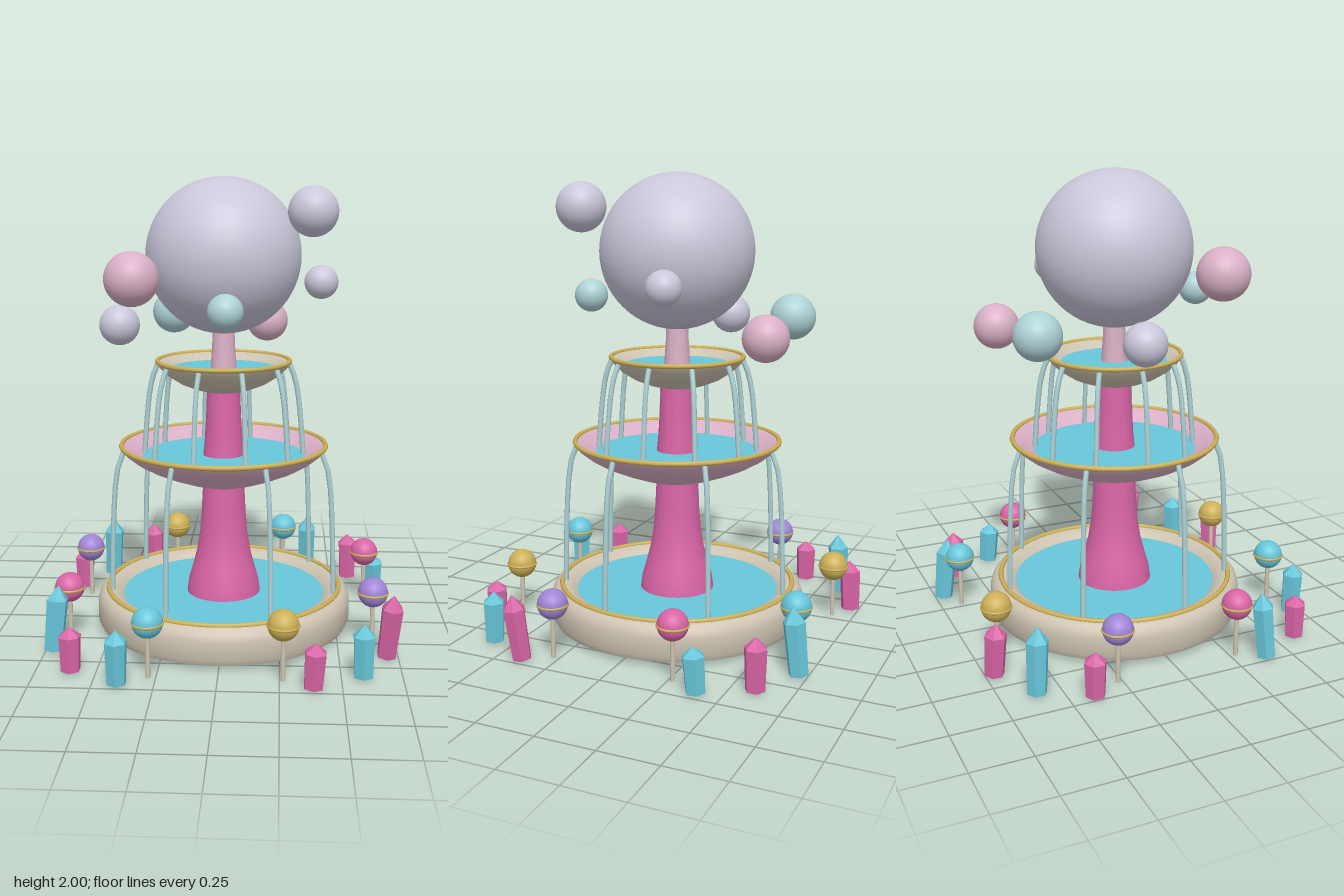
import * as THREE from 'three';
import { toCreasedNormals } from 'three/addons/utils/BufferGeometryUtils.js';

const mat = (name, color, extra = {}) => {
  const m = new THREE.MeshStandardMaterial({ color, ...extra });
  m.name = name;
  return m;
};

export function createModel() {
  const model = new THREE.Group();
  model.name = 'tieredFountain';
  const lavender = mat('lavender', 0xcac7da);
  const palePink = mat('palePink', 0xdab0c6);
  const mint = mat('mint', 0xaed2d6);
  const stone = mat('stone', 0xcec4b2);
  const gold = mat('gold', 0xcdb056);
  const magenta = mat('magenta', 0xd965a6);
  const cyan = mat('cyan', 0x68c6da);
  const purple = mat('purple', 0xa085d6);

  // everything but the floating orbs shares one slightly shifted axis
  const fountain = new THREE.Group();
  fountain.name = 'fountain';
  fountain.position.set(-0.008, 0, -0.003);
  model.add(fountain);

  const add = (parent, name, geo, material, x = 0, y = 0, z = 0) => {
    const mesh = new THREE.Mesh(geo, material);
    mesh.name = name;
    mesh.position.set(x, y, z);
    parent.add(mesh);
    return mesh;
  };
  const lathe = (name, pts, material) => {
    const geo = new THREE.LatheGeometry(pts.map(p => new THREE.Vector2(...p)), 64);
    return add(fountain, name, toCreasedNormals(geo, 0.7), material);
  };
  const ring = (name, r, y, tube) => {
    const geo = new THREE.TorusGeometry(r, tube, 8, 64).rotateX(Math.PI / 2);
    add(fountain, name, geo, gold, 0, y, 0);
  };
  const water = (name, r, y) =>
    add(fountain, name, new THREE.CircleGeometry(r, 64).rotateX(-Math.PI / 2), cyan, 0, y, 0);

  // base basin
  lathe('baseBasin', [[0, 0.01], [0.535, 0.01], [0.558, 0.02], [0.57, 0.045], [0.57, 0.125],
    [0.563, 0.15], [0.547, 0.17], [0.525, 0.18], [0.5, 0.178], [0.47, 0.165], [0.44, 0.13]], stone);
  ring('baseRim', 0.522, 0.18, 0.011);
  water('baseWater', 0.455, 0.147);

  // middle bowl
  lathe('middleBowl', [[0.06, 0.643], [0.11, 0.648], [0.19, 0.672], [0.27, 0.702], [0.34, 0.733],
    [0.4, 0.768], [0.44, 0.8], [0.458, 0.828], [0.44, 0.828], [0.41, 0.805], [0.34, 0.77]], palePink);
  ring('middleRim', 0.454, 0.829, 0.011);
  water('middleWater', 0.36, 0.782);

  // top bowl
  lathe('topBowl', [[0.04, 1.066], [0.08, 1.07], [0.13, 1.083], [0.19, 1.107], [0.245, 1.142],
    [0.28, 1.175], [0.296, 1.203], [0.28, 1.203], [0.255, 1.185], [0.21, 1.16]], stone);
  ring('topRim', 0.292, 1.204, 0.01);
  water('topWater', 0.232, 1.173);

  // stems
  lathe('lowerStem', [[0.165, 0.147], [0.158, 0.2], [0.138, 0.27], [0.12, 0.34], [0.107, 0.42],
    [0.099, 0.52], [0.092, 0.66]], magenta);
  lathe('middleStem', [[0.092, 0.77], [0.085, 0.84], [0.078, 0.95], [0.073, 1.08]], magenta);
  lathe('topStem', [[0.058, 1.16], [0.054, 1.22], [0.05, 1.28], [0.047, 1.36]], palePink);

  // falling water jets, each a bent tube of [radius, height] points
  const jets = (name, count, start, pts) => {
    const curve = new THREE.CatmullRomCurve3(pts.map(([r, y]) => new THREE.Vector3(r, y, 0)));
    const geo = new THREE.TubeGeometry(curve, 8, 0.0115, 8);
    for (let i = 0; i < count; i++) {
      add(fountain, name, geo, mint).rotation.y = -(start + i * Math.PI * 2 / count);
    }
  };
  jets('lowerJet', 7, -Math.PI / 2,
    [[0.445, 0.815], [0.468, 0.76], [0.483, 0.68], [0.496, 0.5], [0.507, 0.15]]);
  jets('upperJet', 10, 0,
    [[0.29, 1.19], [0.311, 1.14], [0.327, 1.07], [0.341, 0.95], [0.354, 0.785]]);

  // ring of globe lamps
  const lampColors = [purple, gold, cyan, magenta];
  for (let i = 0; i < 8; i++) {
    const a = (i + 0.5) * Math.PI / 4;
    const lamp = new THREE.Group();
    lamp.name = 'lamp';
    lamp.position.set(0.71 * Math.cos(a), 0, 0.71 * Math.sin(a));
    fountain.add(lamp);
    add(lamp, 'lampPost', new THREE.CylinderGeometry(0.01, 0.01, 0.19, 10), stone, 0, 0.105, 0);
    add(lamp, 'lampGlobe', new THREE.SphereGeometry(0.064, 32, 20), lampColors[i % 4], 0, 0.245, 0);
    add(lamp, 'lampBand', new THREE.TorusGeometry(0.062, 0.006, 8, 32).rotateX(Math.PI / 2),
      gold, 0, 0.243, 0);
  }

  // crystals in four clusters of three: height, lean in x, lean in z
  const crystals = [
    [0.29, 0.025, 0.03], [0.228, 0, 0], [0.195, 0.01, 0.005],
    [0.235, 0, 0.01], [0.195, 0, 0], [0.29, 0.025, -0.02],
    [0.195, 0, 0], [0.29, 0.01, 0.01], [0.235, -0.01, 0.01],
    [0.29, 0, 0.03], [0.228, 0, 0], [0.195, 0, 0.015],
  ];
  crystals.forEach(([h, leanX, leanZ], i) => {
    const side = i % 3 - 1;
    const a = Math.PI / 4 + Math.floor(i / 3) * Math.PI / 2 + side * 0.28;
    const r = side ? 0.81 : 0.845;
    const profile = [[0, 0], [0.042, 0], [0.048, h * 0.76], [0, h - 0.008]];
    const geo = toCreasedNormals(
      new THREE.LatheGeometry(profile.map(p => new THREE.Vector2(...p)), 6), 0.1);
    const crystal = add(fountain, 'crystal', geo, i % 2 ? cyan : magenta,
      r * Math.cos(a), 0.008, r * Math.sin(a));
    crystal.rotation.set(leanZ / h, 0, -leanX / h);
  });

  // large orb and its floating companions
  const orb = (name, r, material, x, y, z) =>
    add(model, name, new THREE.SphereGeometry(r, 48, 32), material, x, y, z);
  orb('largeOrb', 0.337, lavender, -0.008, 1.663, -0.003);
  [
    [0.103, lavender, 0.37, 1.855, 0.258],
    [0.113, palePink, -0.366, 1.585, 0.33],
    [0.075, lavender, 0.42, 1.54, -0.133],
    [0.074, mint, 0.02, 1.46, 0.405],
    [0.101, mint, -0.267, 1.373, -0.448],
    [0.09, lavender, -0.476, 1.35, 0.074 * -1],
    [0.098, palePink, 0.177, 1.33, -0.478],
  ].forEach(o => orb('floatingOrb', ...o));

  return model;
}
